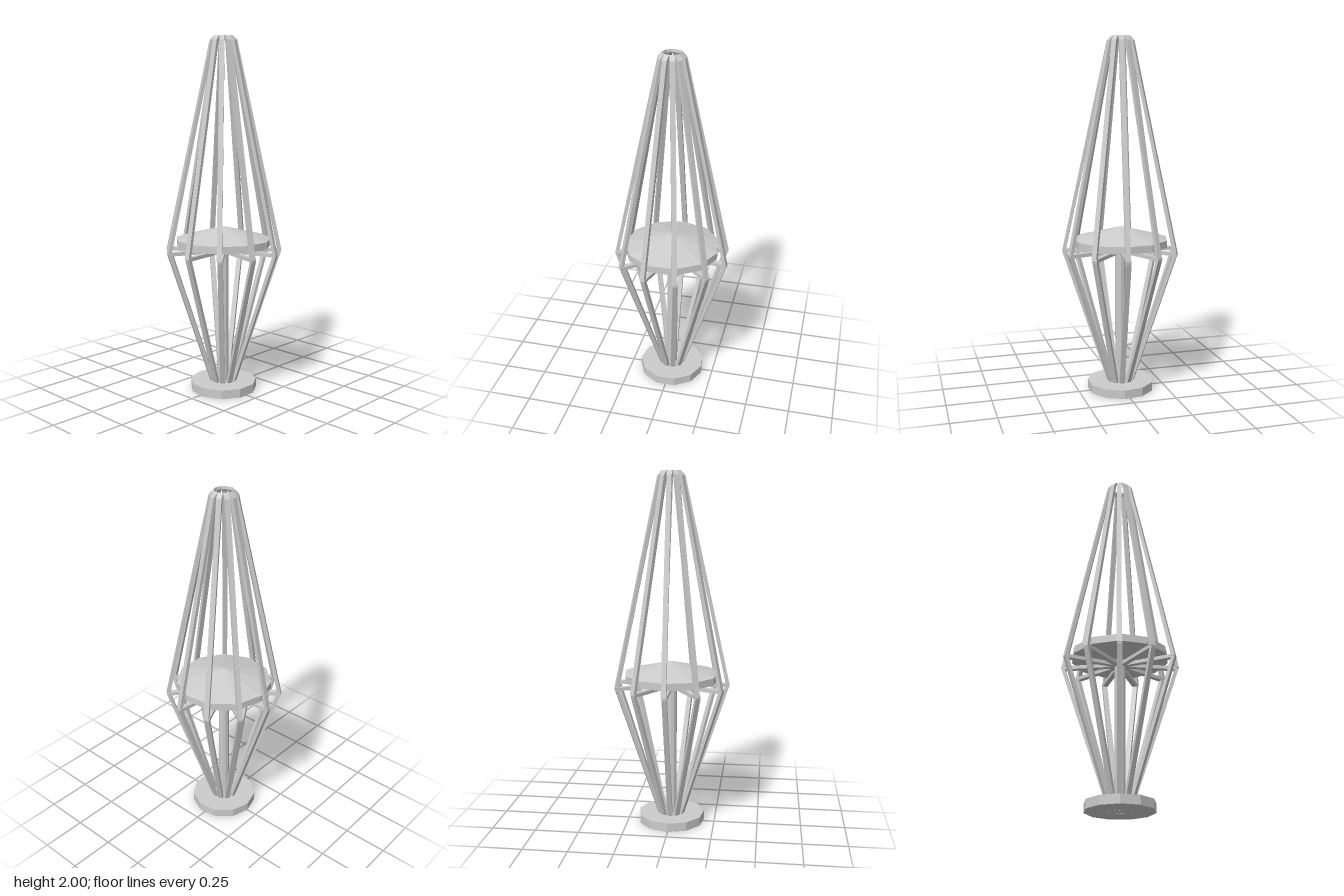
import * as THREE from 'three';

const SIDES = 11;
const ribWidth = 0.028;

export function createModel() {
  const model = new THREE.Group();
  model.name = 'cageLantern';
  const material = new THREE.MeshStandardMaterial({ color: 0xcccccc, flatShading: true });

  const add = (parent, name, geometry) => {
    const mesh = new THREE.Mesh(geometry, material);
    mesh.name = name;
    parent.add(mesh);
    return mesh;
  };

  // Eleven-sided drum or cone with one corner pointing to -x
  const drum = (name, rTop, rBottom, y0, y1, open = false) => {
    const g = new THREE.CylinderGeometry(rTop, rBottom, y1 - y0, SIDES, 1, open, -Math.PI / 2);
    return add(model, name, g.translate(0, (y0 + y1) / 2, 0));
  };

  // Flat bar: side outline (radius, height) given the rib width
  const bar = (points, offset = 0) => {
    const shape = new THREE.Shape(points.map(([r, y]) => new THREE.Vector2(r, y)));
    const g = new THREE.ExtrudeGeometry(shape, { depth: ribWidth, bevelEnabled: false });
    return g.translate(0, 0, offset - ribWidth / 2);
  };

  // Base and central post
  drum('base', 0.19, 0.19, 0, 0.05);
  drum('post', 0.03, 0.03, -0.001, 0.84);

  // Shallow roofed platform
  drum('platformRim', 0.27, 0.27, 0.84, 0.88);
  drum('platformRoof', 0, 0.27, 0.88, 0.95, true);

  // Ribs bend inward at the top, meeting in an open ring
  const upper = bar([
    [0.33, 0.81], [0.075, 1.975], [0.05, 2], [0.047, 1.985], [0.058, 1.965], [0.31, 0.81],
  ], 0.004);
  const lower = bar([[0.33, 0.81], [0.31, 0.81], [0.04, -0.001], [0.06, -0.001]]);
  const spoke = bar([[0.02, 0.8], [0.328, 0.8], [0.328, 0.82], [0.02, 0.82]]);

  for (let i = 0; i < SIDES; i++) {
    const frame = new THREE.Group();
    frame.name = 'ribFrame' + (i + 1);
    frame.rotation.y = Math.PI + (i * 2 * Math.PI) / SIDES;
    add(frame, 'upperRib', upper);
    add(frame, 'lowerRib', lower);
    add(frame, 'spoke', spoke);
    model.add(frame);
  }

  // Centre the odd-sided outline
  model.position.x = 0.004;
  return model;
}
